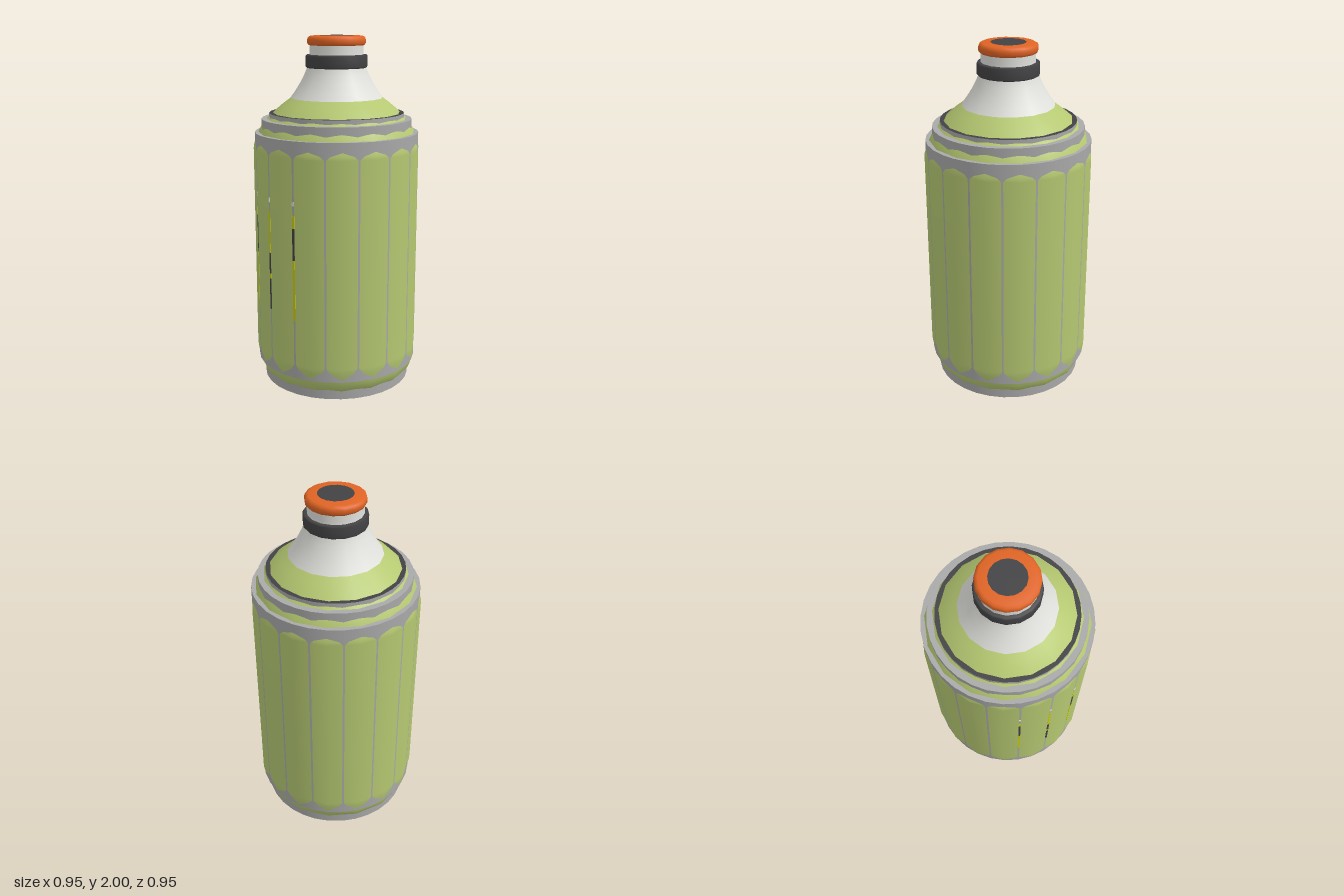
import * as THREE from 'three';

const paint = (name, color) => {
  const m = new THREE.MeshStandardMaterial({ color });
  m.name = name;
  return m;
};

export function createModel() {
  const green = paint('leaf green', 0xb5c871);
  const grey = paint('mid grey', 0xa9a9a9);
  const white = paint('off white', 0xe0e0dc);
  const dark = paint('charcoal', 0x434345);
  const orange = paint('orange', 0xe06424);
  const yellow = paint('yellow', 0xcccb10);

  const model = new THREE.Group();
  model.name = 'bottle';

  const add = (name, geometry, material, parent = model) => {
    const mesh = new THREE.Mesh(geometry, material);
    mesh.name = name;
    parent.add(mesh);
    return mesh;
  };
  // Profiles run from bottom to top as [radius, height]
  const lathe = (name, profile, material) =>
    add(name, new THREE.LatheGeometry(profile.map(([r, y]) => new THREE.Vector2(r, y)), 16), material);
  const band = (name, radius, y0, y1, material, sides = 32) => {
    const mesh = add(name, new THREE.CylinderGeometry(radius, radius, y1 - y0, sides), material);
    mesh.position.y = (y0 + y1) / 2;
    return mesh;
  };

  // Faceted body shell; the rounder sleeves break through its flat sides
  lathe('bodyShell', [
    [0.41, 0.04], [0.43, 0.05], [0.445, 0.065], [0.459, 0.1], [0.467, 0.135], [0.473, 0.17], [0.475, 0.2],
    [0.475, 1.37], [0.473, 1.39], [0.467, 1.41], [0.458, 1.44], [0.447, 1.465], [0.431, 1.495],
    [0.415, 1.518], [0.398, 1.54], [0.362, 1.572], [0.34, 1.594], [0.3, 1.627], [0.262, 1.655],
  ], green);
  band('mainSleeve', 0.4664, 0.12, 1.465, grey);
  band('shoulderStep', 0.427, 1.42, 1.54, grey);
  band('upperStep', 0.383, 1.5, 1.572, [grey, dark, grey]);
  band('base', 0.43, 0.002, 0.15, [grey, grey, dark]);

  // Neck and collar
  lathe('neck', [
    [0.262, 1.655], [0.235, 1.692], [0.205, 1.74], [0.182, 1.785], [0.165, 1.825],
    [0.154, 1.87], [0.152, 1.91], [0.152, 1.955],
  ], white);
  lathe('collar', [
    [0.14, 1.822], [0.168, 1.822], [0.175, 1.83], [0.175, 1.887], [0.168, 1.895], [0.14, 1.895],
  ], dark);

  // Rolled cap with a dark centre
  lathe('cap', [
    [0.13, 1.946], [0.156, 1.946], [0.164, 1.957], [0.165, 1.975], [0.16, 1.99], [0.145, 1.998], [0.097, 2],
  ], orange);
  const plug = add('capCentre', new THREE.CircleGeometry(0.098, 16), dark);
  plug.rotation.x = -Math.PI / 2;
  plug.position.y = 2;

  // Concentric rings under the base
  [[0.315, 0.28, green], [0.28, 0.19, grey], [0.19, 0.15, green], [0.07, 0, grey]].forEach(([outer, inner, material], i) => {
    const geometry = inner ? new THREE.RingGeometry(inner, outer, 16) : new THREE.CircleGeometry(outer, 8);
    const ring = add(`baseRing${i + 1}`, geometry, material);
    ring.rotation.x = Math.PI / 2;
  });

  // Slim label marks on the front seams: [bottom, top, colour]
  const marks = [
    [-33.75, 0.011, [[0.47, 0.78, yellow], [0.78, 1.0, dark], [1.0, 1.05, yellow], [1.11, 1.135, white]]],
    [-11.25, 0.013, [[0.49, 0.67, dark], [0.67, 0.7, yellow], [0.7, 0.82, dark], [0.82, 1.06, yellow], [1.11, 1.135, white]]],
    [11.25, 0.014, [[0.46, 0.81, yellow], [0.81, 0.99, dark], [0.99, 1.06, yellow], [1.115, 1.135, white]]],
  ];
  marks.forEach(([degrees, width, pieces], i) => {
    const strip = new THREE.Group();
    strip.name = `labelStrip${i + 1}`;
    strip.rotation.y = THREE.MathUtils.degToRad(degrees);
    for (const [y0, y1, material] of pieces) {
      const piece = add('labelMark', new THREE.BoxGeometry(width, y1 - y0, 0.003), material, strip);
      piece.position.set(0, (y0 + y1) / 2, 0.4662);
    }
    model.add(strip);
  });

  return model;
}
